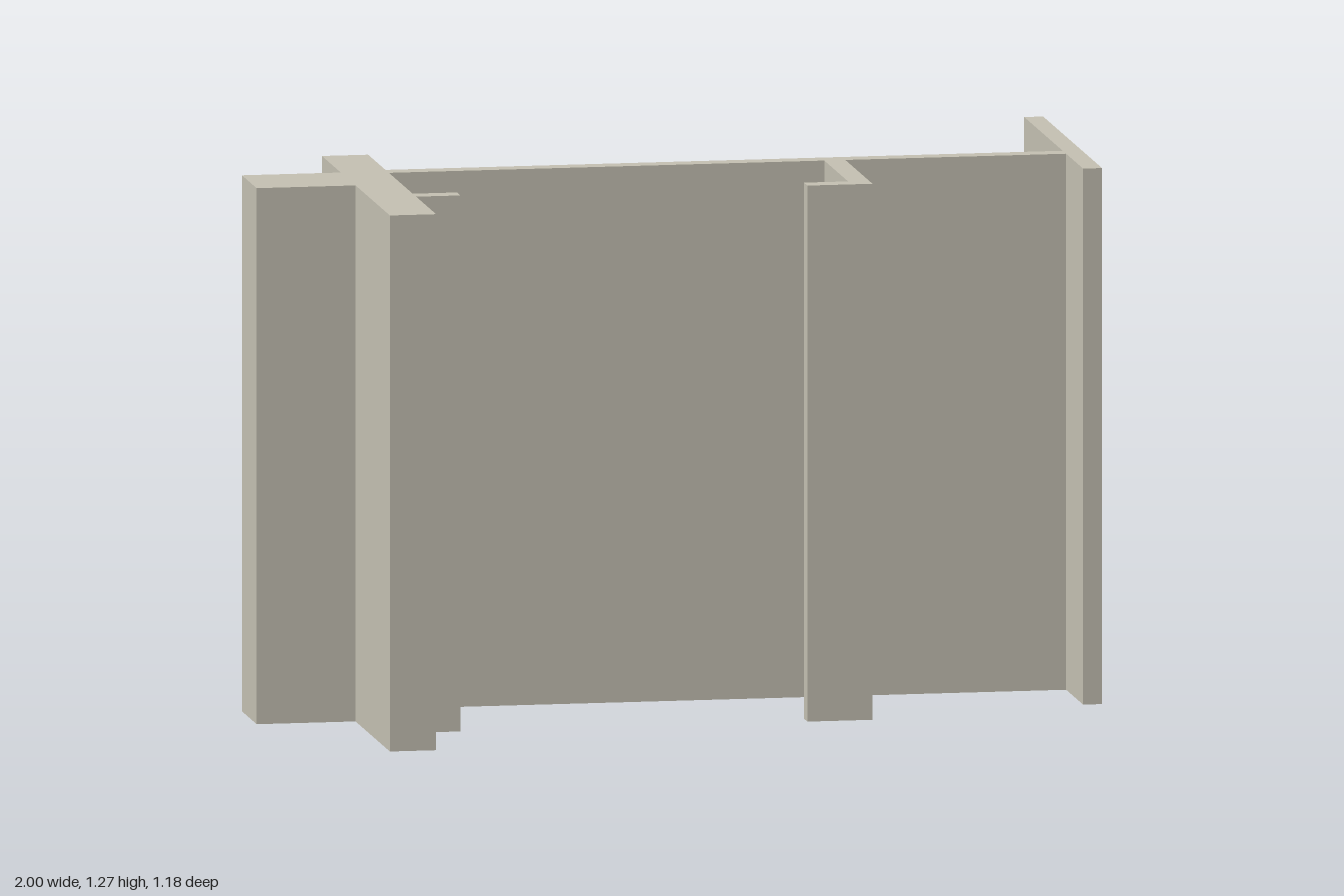
import * as THREE from 'three';

const HEIGHT = 1.27;

// Plan outline of the whole profile as [x, z], walked around its edge
const OUTLINE = [
  // square tongue and back half of the thick post
  [-1, 0.135], [-1, -0.06], [-0.765, -0.06], [-0.765, -0.31], [-0.655, -0.31],
  // back of the web, then the thin end flange
  [-0.655, -0.08], [0.955, -0.08], [0.955, -0.59], [1, -0.59], [1, 0.19], [0.955, 0.19],
  // front of the web with the hooked branch
  [0.955, -0.035], [0.43, -0.035], [0.43, 0.325], [0.275, 0.325], [0.275, 0.28],
  [0.38, 0.28], [0.38, -0.035], [-0.655, -0.035],
  // small lip and front half of the post
  [-0.655, 0.28], [-0.55, 0.28], [-0.55, 0.325], [-0.655, 0.325],
  [-0.655, 0.59], [-0.765, 0.59], [-0.765, 0.135],
];

export function createModel() {
  const group = new THREE.Group();
  group.name = 'extrudedProfile';

  const stone = new THREE.MeshStandardMaterial({ color: 0xc4c0b2 });
  stone.name = 'warm grey';

  // Extrude along z, then stand the profile upright
  const shape = new THREE.Shape(OUTLINE.map(([x, z]) => new THREE.Vector2(x, -z)));
  const geometry = new THREE.ExtrudeGeometry(shape, { depth: HEIGHT, bevelEnabled: false });
  geometry.rotateX(-Math.PI / 2);

  const profile = new THREE.Mesh(geometry, stone);
  profile.name = 'profileBody';
  group.add(profile);
  return group;
}
